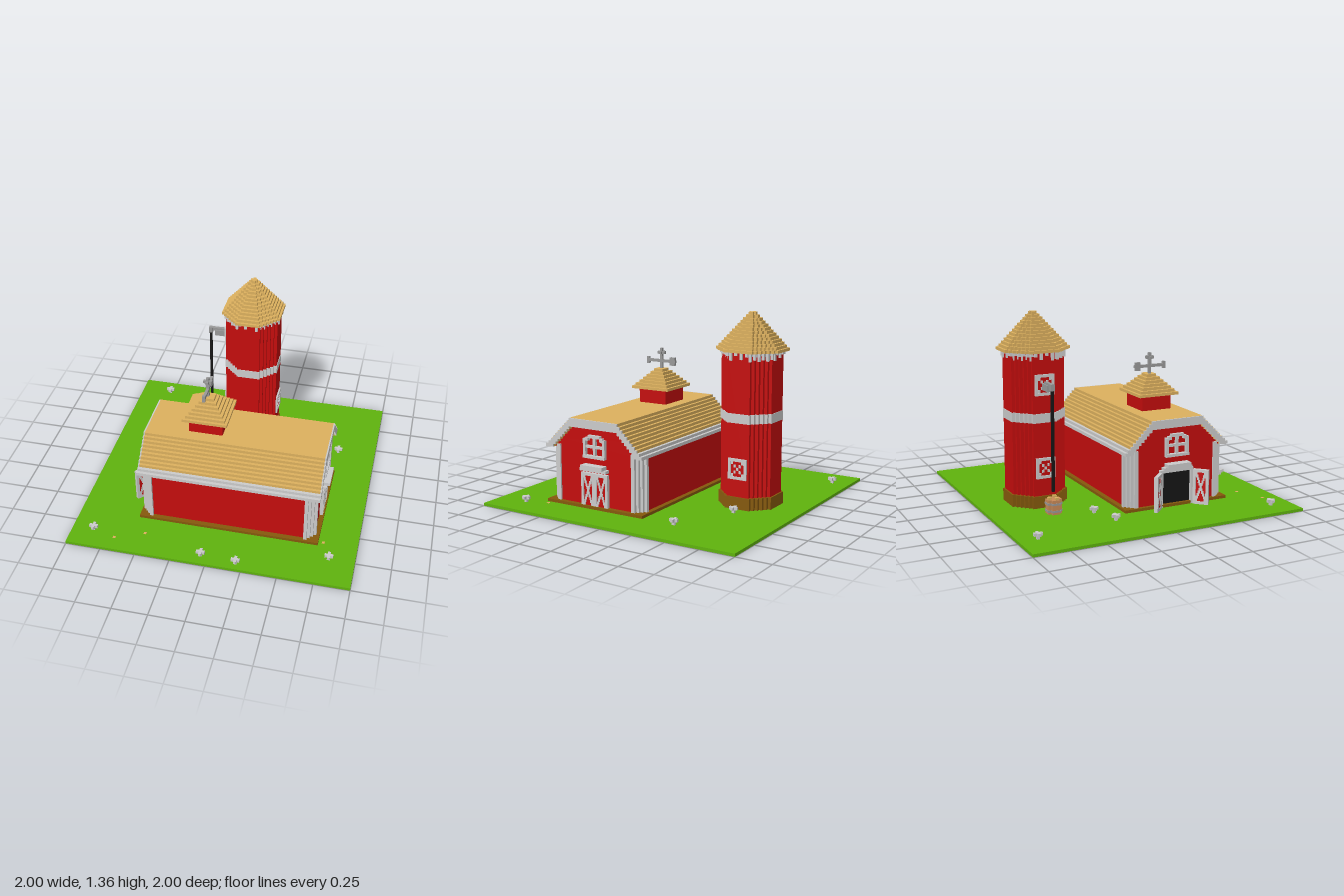
import * as THREE from 'three';

const mat = (color) => new THREE.MeshStandardMaterial({ color, flatShading: true });
const GREY = mat(0xcccccc), DARK_GREY = mat(0x999999), RED = mat(0xc40d0d), STRAW = mat(0xdcb05e);
const GREEN = mat(0x5fb30d), BROWN = mat(0x85590c), BLACK = mat(0x151515), WOOD = mat(0xc98a58);
const V = 0.02; // block size

function add(parent, name, geometry, material, x = 0, y = 0, z = 0) {
  const mesh = new THREE.Mesh(geometry, material);
  mesh.name = name;
  mesh.position.set(x, y, z);
  parent.add(mesh);
  return mesh;
}

// box given by its lower and upper limits
function box(parent, name, material, x0, x1, y0, y1, z0, z1) {
  return add(parent, name, new THREE.BoxGeometry(x1 - x0, y1 - y0, z1 - z0), material,
    (x0 + x1) / 2, (y0 + y1) / 2, (z0 + z1) / 2);
}

function group(parent, name, x = 0, y = 0, z = 0, turn = 0) {
  const g = new THREE.Group();
  g.name = name;
  g.position.set(x, y, z);
  g.rotation.y = turn;
  parent.add(g);
  return g;
}

const toShape = (pts) => new THREE.Shape(pts.map(([a, b]) => new THREE.Vector2(a, b)));
const mirror = (pts) => pts.map(([a, b]) => [-a, b]).reverse();

// right half of a stepped gambrel outline, from the eave upwards
function stair(half, n, y0) {
  const pts = [];
  for (let i = 0; i < n; i++) {
    pts.push([half - V * i, y0 + V * i], [half - V * i, y0 + V * (i + 1)]);
  }
  return pts;
}

// profile in (z, y) extruded between two x positions
function prism(parent, name, material, pts, x0, x1) {
  const geo = new THREE.ExtrudeGeometry(toShape(pts), { depth: x1 - x0, bevelEnabled: false });
  geo.rotateY(-Math.PI / 2);
  return add(parent, name, geo, material, x1, 0, 0);
}

// octagon whose slanted corners are stepped
function octagon(hx, hz, fx, fz, n) {
  const q = [];
  const dx = (hx - fx) / n, dz = (hz - fz) / n;
  for (let i = 0; i <= n; i++) {
    q.push([hx - dx * i, fz + dz * i]);
    if (i < n) q.push([hx - dx * (i + 1), fz + dz * i]);
  }
  const top = [...q, ...mirror(q)];
  return [...top, ...top.map(([a, b]) => [-a, -b])];
}

function slab(parent, name, material, pts, y0, y1) {
  const geo = new THREE.ExtrudeGeometry(toShape(pts), { depth: y1 - y0, bevelEnabled: false });
  geo.rotateX(-Math.PI / 2);
  return add(parent, name, geo, material, 0, y0, 0);
}

// framed panel with a cross brace; x from 0 to w, facing +z
function bracedPanel(parent, name, w, h, x, y, z, turn = 0) {
  const g = group(parent, name, x, y, z, turn);
  box(g, 'panel', RED, 0.005, w - 0.005, 0.005, h - 0.005, -0.008, 0.008);
  for (const s of [0, w - V]) box(g, 'stile', GREY, s, s + V, 0, h, -0.012, 0.015);
  for (const s of [0, h - V]) box(g, 'rail', GREY, V, w - V, s, s + V, -0.012, 0.015);
  const n = Math.max(5, Math.round((h - 2 * V) / V));
  for (let i = 0; i < n; i++) {
    const t = (i + 0.5) / n, py = V + t * (h - 2 * V);
    for (const u of [t, 1 - t]) {
      const px = V + u * (w - 2 * V);
      box(g, 'brace', GREY, px - 0.008, px + 0.008, py - 0.01, py + 0.01, -0.012, 0.012);
    }
  }
}

// ledge and arched window of one barn end, facing +z
function gableTrim(parent, x, turn) {
  const g = group(parent, 'gableTrim', x, 0, 0, turn);
  box(g, 'ledge', GREY, -0.11, 0.11, 0.285, 0.305, 0, 0.04);
  box(g, 'ledgeTop', GREY, -0.09, 0.09, 0.305, 0.33, 0, 0.06);
  for (const s of [-1, 1]) {
    box(g, 'windowSide', GREY, s * 0.08 - 0.01, s * 0.08 + 0.01, 0.395, 0.51, 0, 0.025);
    box(g, 'windowShoulder', GREY, s * 0.06 - 0.012, s * 0.06 + 0.012, 0.495, 0.52, 0, 0.025);
  }
  box(g, 'windowSill', GREY, -0.09, 0.09, 0.375, 0.395, 0, 0.03);
  box(g, 'windowHead', GREY, -0.05, 0.05, 0.515, 0.535, 0, 0.025);
  box(g, 'windowBar', GREY, -0.07, 0.07, 0.445, 0.463, 0, 0.02);
  box(g, 'windowPost', GREY, -0.01, 0.01, 0.395, 0.515, 0, 0.02);
  return g;
}

function buildBarn(root) {
  const barn = group(root, 'barn', 0, 0, 0.25);
  box(barn, 'foundation', BROWN, -0.565, 0.725, 0.02, 0.04, -0.4, 0.4);
  box(barn, 'longWalls', RED, -0.48, 0.62, 0.03, 0.45, -0.365, 0.365);
  const inner = stair(0.34, 8, 0.42);
  prism(barn, 'gableWalls', RED,
    [[0.31, 0.03], [0.31, 0.42], ...inner, ...mirror(inner), [-0.31, 0.42], [-0.31, 0.03]], -0.54, 0.69);

  // stepped corner posts
  for (const [x0, dir] of [[0.63, 1], [-0.48, -1]]) for (const s of [-1, 1]) for (let k = 0; k < 4; k++) {
    const x = x0 + dir * V * k, z = s * (0.37 - V * k);
    box(barn, 'cornerPost', GREY, x - 0.012, x + 0.012, 0.04, 0.44, z - 0.014, z + 0.014);
  }

  // stepped roof shell with grey rims and eaves
  const outer = stair(0.4, 11, 0.42);
  const shell = [...outer, ...mirror(outer), ...mirror(inner).reverse().map(([a, b]) => [a, b]), ...inner.slice().reverse()];
  prism(barn, 'roof', STRAW, shell, -0.555, 0.715);
  for (const [a, b] of [[-0.565, -0.555], [0.715, 0.725]]) prism(barn, 'roofRim', GREY, shell, a, b);
  for (const s of [-1, 1]) {
    box(barn, 'eave', GREY, -0.564, 0.724, 0.418, 0.441, s * 0.383 - 0.02, s * 0.383 + 0.02);
    box(barn, 'eaveStep', GREY, -0.564, 0.724, 0.43, 0.461, s * 0.37 - 0.012, s * 0.37 + 0.012);
  }

  // closed doors at one end, open doors at the other
  const closed = gableTrim(barn, 0.69, Math.PI / 2);
  bracedPanel(closed, 'doorLeaf', 0.11, 0.25, -0.11, 0.02, 0.01);
  bracedPanel(closed, 'doorLeaf', 0.11, 0.25, 0, 0.02, 0.01);
  const open = gableTrim(barn, -0.54, -Math.PI / 2);
  box(open, 'doorway', BLACK, -0.11, 0.11, 0.03, 0.27, -0.02, 0.003);
  box(open, 'doorHead', GREY, -0.13, 0.13, 0.265, 0.285, 0, 0.025);
  for (const s of [-1, 1]) box(open, 'doorJamb', GREY, s * 0.12 - 0.01, s * 0.12 + 0.01, 0.02, 0.27, 0, 0.025);
  bracedPanel(open, 'openDoor', 0.11, 0.25, 0.13, 0.02, 0.025, -Math.PI / 4);
  bracedPanel(open, 'openDoor', 0.11, 0.25, -0.13, 0.02, 0.025, -3 * Math.PI / 4);

  // cupola with stepped roof
  const cupola = group(barn, 'cupola', -0.138, 0, 0);
  box(cupola, 'cupolaWalls', RED, -0.12, 0.12, 0.63, 0.75, -0.113, 0.113);
  for (let i = 0; i < 7; i++) {
    const r = 0.16 - 0.0195 * i;
    box(cupola, 'cupolaRoof', STRAW, -r, r, 0.745 + V * i, 0.765 + V * i, -r + 0.006, r - 0.006);
  }

  // weather vane
  const vane = group(cupola, 'weatherVane', -0.008, 0, 0);
  box(vane, 'vanePost', DARK_GREY, -0.01, 0.01, 0.88, 1.035, -0.01, 0.01);
  box(vane, 'vaneArm', DARK_GREY, -0.01, 0.01, 0.93, 0.95, -0.12, 0.125);
  box(vane, 'vaneKnob', DARK_GREY, -0.03, 0.03, 0.992, 1.012, -0.01, 0.01);
  box(vane, 'vaneKnob', DARK_GREY, -0.01, 0.01, 0.992, 1.012, -0.03, 0.03);
  box(vane, 'vaneTip', DARK_GREY, -0.01, 0.01, 0.915, 0.965, 0.105, 0.125);
  for (const y of [0.92, 0.96]) box(vane, 'vaneTail', DARK_GREY, -0.01, 0.01, y - 0.01, y + 0.01, -0.115, -0.075);
}

function buildSilo(root) {
  const silo = group(root, 'silo', 0, 0, -0.58);
  const wall = octagon(0.195, 0.193, 0.085, 0.085, 5);
  slab(silo, 'siloBase', BROWN, octagon(0.205, 0.205, 0.095, 0.095, 5), 0.02, 0.105);
  slab(silo, 'siloWall', RED, wall, 0.1, 1.1);
  slab(silo, 'siloBand', GREY, octagon(0.199, 0.197, 0.088, 0.088, 5), 0.62, 0.685);

  // fringe hanging below the roof
  const drops = [0.03, 0.05, 0.025, 0.06];
  wall.forEach(([x, z], i) => {
    const d = drops[i % 4];
    box(silo, 'fringe', GREY, x - 0.009, x + 0.009, 1.105 - d, 1.105, z - 0.009, z + 0.009);
  });
  for (let i = 0; i < 4; i++) for (const s of [-1, 1]) {
    const u = -0.06 + 0.04 * i, d = drops[i];
    box(silo, 'fringe', GREY, u - 0.01, u + 0.01, 1.105 - d, 1.105, s * 0.195 - 0.01, s * 0.195 + 0.01);
    box(silo, 'fringe', GREY, s * 0.197 - 0.01, s * 0.197 + 0.01, 1.105 - d, 1.105, u - 0.01, u + 0.01);
  }

  // stepped octagonal roof
  for (let k = 0; k < 13; k++) {
    const t = 1 - k / 13.6;
    slab(silo, 'siloRoof', STRAW, octagon(0.217 * t, 0.237 * t, 0.09 * t, 0.11 * t, Math.max(1, Math.round(6 * t))),
      1.1 + V * k, 1.12 + V * k);
  }

  // windows
  bracedPanel(silo, 'window', 0.14, 0.145, 0.193, 0.23, 0.07, Math.PI / 2);
  for (const y of [0.23, 0.81]) bracedPanel(silo, 'window', 0.14, 0.145, -0.193, y, -0.07, -Math.PI / 2);

  // grain pipe
  box(silo, 'pipeSocket', DARK_GREY, -0.295, -0.19, 0.85, 0.895, -0.02, 0.02);
  box(silo, 'pipeElbow', DARK_GREY, -0.345, -0.22, 0.885, 0.91, -0.012, 0.012);
  box(silo, 'pipeCollar', DARK_GREY, -0.345, -0.315, 0.865, 0.91, -0.014, 0.014);
  box(silo, 'pipe', BLACK, -0.34, -0.322, 0.17, 0.87, -0.009, 0.009);

  // bucket of grain under the pipe
  const bucket = group(silo, 'bucket', -0.333, 0, 0);
  const rim = octagon(0.05, 0.05, 0.028, 0.028, 1);
  slab(bucket, 'bucketBody', WOOD, rim, 0.02, 0.12);
  for (const y of [0.035, 0.085]) slab(bucket, 'bucketHoop', DARK_GREY, octagon(0.053, 0.053, 0.03, 0.03, 1), y, y + 0.014);
  for (const [x, z] of [[0.03, 0.02], [-0.03, 0.01], [0, -0.03]]) {
    box(bucket, 'grain', STRAW, x - 0.012, x + 0.012, 0.11, 0.135, z - 0.012, z + 0.012);
  }
}

export function createModel() {
  const root = new THREE.Group();
  root.name = 'farmyard';
  box(root, 'grass', GREEN, -1, 1, 0, 0.02, -1, 1);
  buildBarn(root);
  buildSilo(root);

  // flowers and pebbles
  for (const [x, z] of [[-0.765, -0.87], [0.285, -0.6], [0.72, -0.395], [-0.455, -0.335], [-0.66, -0.27],
    [-0.845, 0.84], [-0.045, 0.925], [0.205, 0.945], [0.82, 0.765]]) {
    const f = group(root, 'flower', x, 0, z);
    box(f, 'flowerStem', GREY, -0.01, 0.01, 0.02, 0.05, -0.01, 0.01);
    box(f, 'petals', GREY, -0.03, 0.03, 0.042, 0.063, -0.01, 0.01);
    box(f, 'petals', GREY, -0.01, 0.01, 0.042, 0.063, -0.03, 0.03);
  }
  for (const [x, z] of [[0.76, 0.615], [-0.48, 0.8], [-0.68, 0.885]]) {
    box(root, 'pebble', STRAW, x - 0.01, x + 0.01, 0.01, 0.022, z - 0.01, z + 0.01);
  }
  return root;
}
